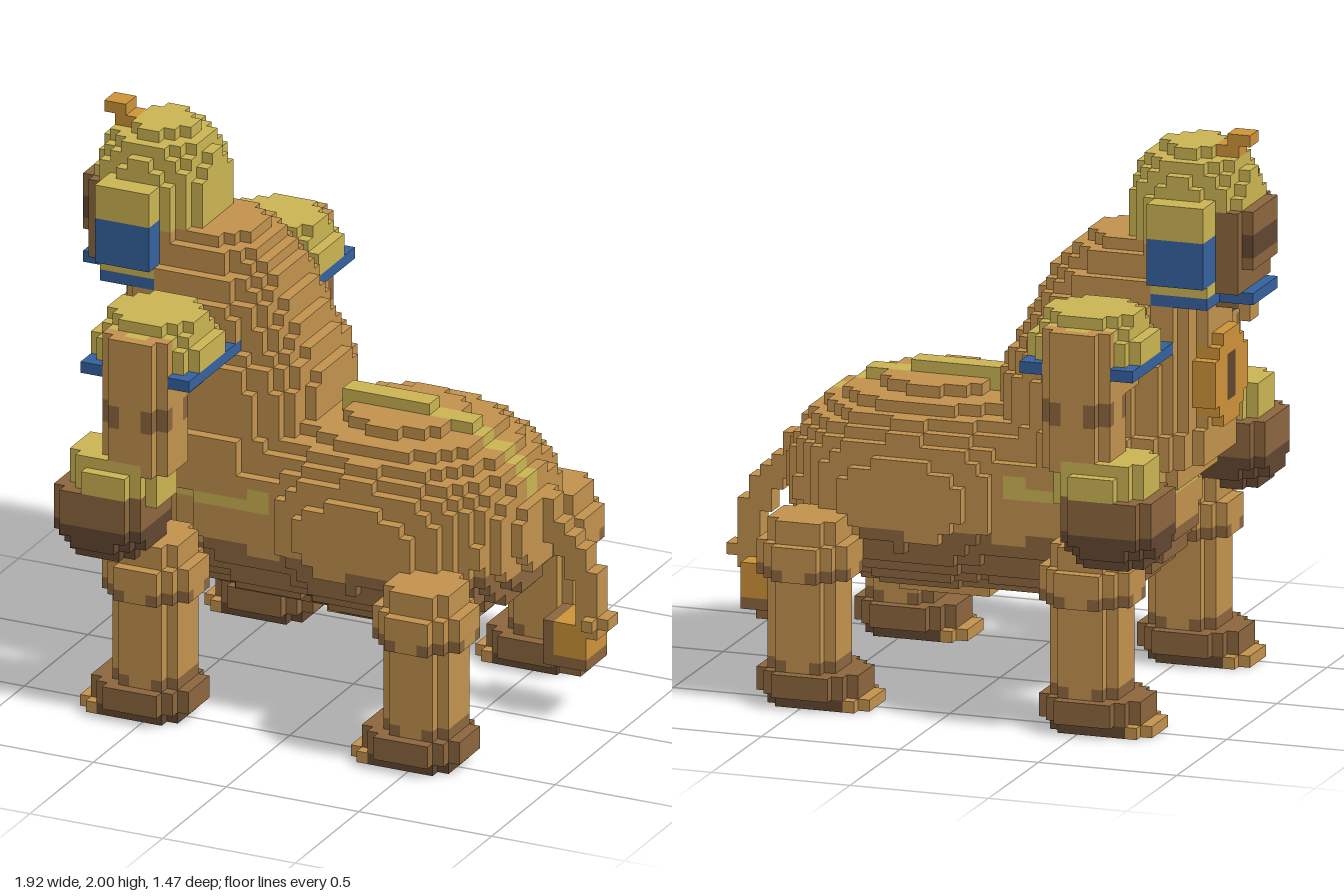
import * as THREE from 'three';

// Block size and grid: x cells 0..46, y cells 0..48, z cells -18..17; the creature faces -x.
const S = 2 / 49;
const COLORS = {
  tan: 0xc3934e, gold: 0xcdb654, blue: 0x3562a0,
  brown: 0x8d673e, darkBrown: 0x624730, orange: 0xcf9439,
};

export function createModel() {
  const cells = new Map();
  const key = (i, j, k) => i + ',' + j + ',' + k;

  // Fill a range of cells; rule(x, y, z) at cell centres returns a colour name or nothing.
  function fill(part, [i0, i1], [j0, j1], [k0, k1], rule) {
    for (let i = i0; i < i1; i++)
      for (let j = j0; j < j1; j++)
        for (let k = k0; k < k1; k++) {
          const color = typeof rule === 'string' ? rule : rule(i + 0.5, j + 0.5, k + 0.5);
          if (color) cells.set(key(i, j, k), { part, color, i, j, k });
        }
  }
  // Same, on both sides of z = 0.
  function fillBoth(part, xs, ys, [k0, k1], rule) {
    const r = typeof rule === 'string' ? () => rule : rule;
    fill('left' + part, xs, ys, [k0, k1], r);
    fill('right' + part, xs, ys, [-k1, -k0], (x, y, z) => r(x, y, -z));
  }
  // Superellipse test in any number of axes: pairs of offset and radius.
  const inside = (n, ...p) => {
    let sum = 0;
    for (let a = 0; a < p.length; a += 2) sum += Math.abs(p[a] / p[a + 1]) ** n;
    return sum <= 1;
  };

  // Body: deep rump and narrower chest, dark belly, gold band round the chest
  fill('body', [6, 41], [9, 26], [-11, 11], (x, y, z) => {
    const rump = inside(2.3, x - 28.5, 12.5, y - 17.2, 8.8, z, 11.2);
    const chest = inside(2.4, x - 19, 12, y - 17, 8.5, z, 9.3);
    if (!rump && !chest) return null;
    if (y < 14.6 + Math.sin(x * 0.9) * 0.9) return 'brown';
    return x < 20 && y > 18 && y < 20 ? 'gold' : 'tan';
  });
  fill('belly', [23, 31], [8, 9], [-4, 4], 'tan');

  // Upright neck and chest, one rounded slab per layer: front edge, back edge, half width
  const backEdge = (j) => (j === 39 ? 15 : j === 38 ? 16 : j === 37 ? 17
    : Math.min(22.4, 18 + (36 - j) * 0.5));
  const halfWidth = (j) => (j >= 39 ? 4 : j >= 37 ? 5 : j >= 35 ? 6 : j >= 30 ? 7 : j >= 24 ? 8 : 9);
  fill('neck', [4, 24], [19, 40], [-9, 9], (x, y, z) => {
    const j = Math.floor(y);
    const x0 = j >= 36 ? 5 : j < 21 ? 5.5 : 4;
    const x1 = backEdge(j);
    const c = (x0 + x1) / 2;
    return inside(2.4, x - c, x1 - c, z, halfWidth(j) + 0.1) ? 'tan' : null;
  });

  // Oval chest ornament with a dark centre
  fill('pectoral', [3, 6], [24, 32], [-4, 4], (x, y, z) => {
    if (!inside(2, y - 28, 4.2, z, 3.8)) return null;
    return inside(2, y - 28, 2.3, z, 1.2) ? 'darkBrown' : 'orange';
  });

  // Gold ridge along the spine, with a raised loop
  for (let i = 23; i < 41; i++) {
    let top = 27;
    while (top > 8 && !cells.has(key(i, top - 1, 0))) top--;
    fill('spineRidge', [i, i + 1], [Math.max(top - 3, 20), top], [-1, 1], 'gold');
  }
  fill('spineLoop', [23, 31], [26, 27], [-1, 1], 'gold');
  fill('spineLoop', [23, 25], [25, 26], [-1, 1], 'gold');
  fill('spineLoop', [29, 35], [25, 26], [-1, 1], 'gold');

  // Head with domed gold cover, face, beard, collar and top ornament
  fill('headCover', [1, 11], [36, 48], [-5, 5], (x, y, z) => {
    const dome = Math.max(0, y - 43);
    if (!inside(2.2, x - 6, 5.1, z, 5.1, dome, 5.1)) return null;
    if (y < 40) return x < 3 ? 'brown' : 'tan';
    return x < 2.6 && y < 43 ? 'brown' : 'gold';
  });
  fill('face', [1, 3], [36, 43], [-4, 4], (x, y, z) =>
    (y > 40 && y < 42 && Math.abs(z) > 1 && Math.abs(z) < 3 ? 'darkBrown' : 'brown'));
  fill('muzzle', [0, 1], [38, 43], [-3, 3], (x, y) => (y < 41 && y > 39 ? 'darkBrown' : 'brown'));
  fill('beard', [1, 2], [33, 36], [-1, 1], 'tan');
  fill('beard', [2, 4], [34, 36], [-1, 1], 'brown');
  fill('collar', [0, 8], [35, 36], [-6, 6], (x, y, z) => (Math.abs(z) < (x < 3 ? 3 : 6) ? 'blue' : null));
  fillBoth('HeadLappet', [3, 8], [36, 37], [4, 6], 'gold');
  fillBoth('HeadLappet', [3, 8], [37, 44], [4, 7], (x, y) => (y < 41 ? 'blue' : 'gold'));
  fill('headOrnament', [1, 3], [48, 49], [-1, 1], 'orange');
  fill('headOrnament', [2, 4], [47, 48], [-1, 1], 'orange');

  // Arms: upper arm, shoulder dome on a blue rim, gold cuff and fist
  fillBoth('Arm', [8, 14], [23, 35], [8, 17], (x, y, z) => {
    const z0 = y > 29 ? 8 : 11;
    const c = (z0 + 17) / 2;
    if (!inside(3, x - 11, 3.1, z - c, 17.1 - c)) return null;
    return y > 27 && y < 29 && Math.abs(x - 11) > 1 && Math.abs(z - 14) > 1 ? 'brown' : 'tan';
  });
  fillBoth('ShoulderRim', [6, 16], [31, 32], [6, 16], 'blue');
  fillBoth('Shoulder', [6, 16], [32, 36], [7, 16], (x, y, z) =>
    (inside(2.2, x - 11, 5.1, y - 32, 4.7, z - 11.5, 4.7) ? 'gold' : null));
  fillBoth('Arm', [8, 14], [31, 34], [14, 17], (x, y, z) => (z < 16 || (x > 9 && x < 13) ? 'tan' : null));
  fillBoth('Cuff', [5, 13], [20, 24], [10, 18], (x, y, z) =>
    (inside(2.3, x - 9, 4.1, z - 14, y > 23 ? 3.4 : 4.1) ? 'gold' : null));
  fillBoth('Fist', [4, 12], [15, 21], [10, 18], (x, y, z) =>
    (inside(2.4, x - 8, 4.1, Math.max(0, 18 - y), 3.6, z - 14, 4.1)
      ? (y < 18 ? 'darkBrown' : 'brown') : null));

  // Four legs with rounded knees and feet pointing forward
  for (const [name, x0] of [['Front', 8], ['Rear', 33]]) {
    const cx = x0 + 3;
    fillBoth(name + 'Leg', [x0, x0 + 6], [3, 16], [9, 15], (x, y, z) => {
      if (!inside(y > 15 ? 2.2 : 3, x - cx, 3.1, z - 12, 3.1)) return null;
      return y < 4 && Math.abs(x - cx) > 1 ? 'brown' : 'tan';
    });
    fillBoth(name + 'Knee', [x0 - 1, x0 + 7], [11, 14], [8, 16], (x, y, z) => {
      if (!inside(2.2, x - cx, 4.1, z - 12, 4.1)) return null;
      return y < 12 && Math.abs(x - cx) > 1 && Math.abs(z - 12) > 1 ? 'brown' : 'tan';
    });
    // Sole, wide middle layer and narrower instep
    const layers = [[x0 - 3, x0 + 6, 3.4], [x0 - 2, x0 + 7, 4.1], [x0 - 2, x0 + 7, 4.1]];
    layers.forEach(([a, b, r], j) => {
      const c = (a + b) / 2;
      fillBoth(name + 'Foot', [a, b], [j, j + 1], [8, 16], (x, y, z) => {
        if (!inside(2.4, x - c, (b - a) / 2 + 0.1, z - 12, r)) return null;
        if (j === 0) return x < x0 - 1 ? 'tan' : 'darkBrown';
        return 'brown';
      });
    });
  }

  // Tail curving down to an orange tuft
  const tail = [[39, 42, 17, 20], [41, 43, 16, 18], [42, 44, 15, 17], [43, 45, 13, 16],
    [44, 46, 10, 14], [45, 47, 9, 10], [44, 46, 8, 10]];
  for (const [a, b, c, d] of tail) fill('tail', [a, b], [c, d], [-2, 0], 'tan');
  fill('tail', [45, 46], [9, 10], [-2, 1], 'tan');
  fill('tailTuft', [41, 45], [5, 9], [-4, 0], (x, y) => (y < 6 || x < 42 ? 'brown' : 'orange'));
  fill('tailTuft', [42, 44], [4, 5], [-3, -1], 'brown');

  // Outer faces of the blocks, gathered by part and colour
  const batches = new Map();
  const corners = [[-1, -1], [1, -1], [1, 1], [-1, 1]];
  for (const { part, color, i, j, k } of cells.values()) {
    const id = part + '/' + color;
    if (!batches.has(id)) batches.set(id, { part, color, pos: [], nor: [] });
    const { pos, nor } = batches.get(id);
    const centre = [i + 0.5 - 23.5, j + 0.5, k + 0.5];
    for (let axis = 0; axis < 3; axis++)
      for (const sign of [-1, 1]) {
        const n = [0, 0, 0];
        n[axis] = sign;
        if (cells.has(key(i + n[0], j + n[1], k + n[2]))) continue;
        const quad = corners.map(([u, v]) => {
          const p = centre.slice();
          p[axis] += sign / 2;
          p[(axis + 1) % 3] += (u * sign) / 2;
          p[(axis + 2) % 3] += v / 2;
          return p.map((c) => c * S);
        });
        for (const q of [0, 1, 2, 0, 2, 3]) {
          pos.push(...quad[q]);
          nor.push(...n);
        }
      }
  }

  const materials = {};
  for (const [name, color] of Object.entries(COLORS)) {
    materials[name] = new THREE.MeshStandardMaterial({ color });
    materials[name].name = name;
  }
  const model = new THREE.Group();
  model.name = 'guardianStatue';
  const parts = {};
  for (const { part, color, pos, nor } of batches.values()) {
    if (!pos.length) continue;
    if (!parts[part]) {
      parts[part] = new THREE.Group();
      parts[part].name = part;
      model.add(parts[part]);
    }
    const geometry = new THREE.BufferGeometry();
    geometry.setAttribute('position', new THREE.Float32BufferAttribute(pos, 3));
    geometry.setAttribute('normal', new THREE.Float32BufferAttribute(nor, 3));
    const mesh = new THREE.Mesh(geometry, materials[color]);
    mesh.name = part + ' ' + color;
    parts[part].add(mesh);
  }
  return model;
}
